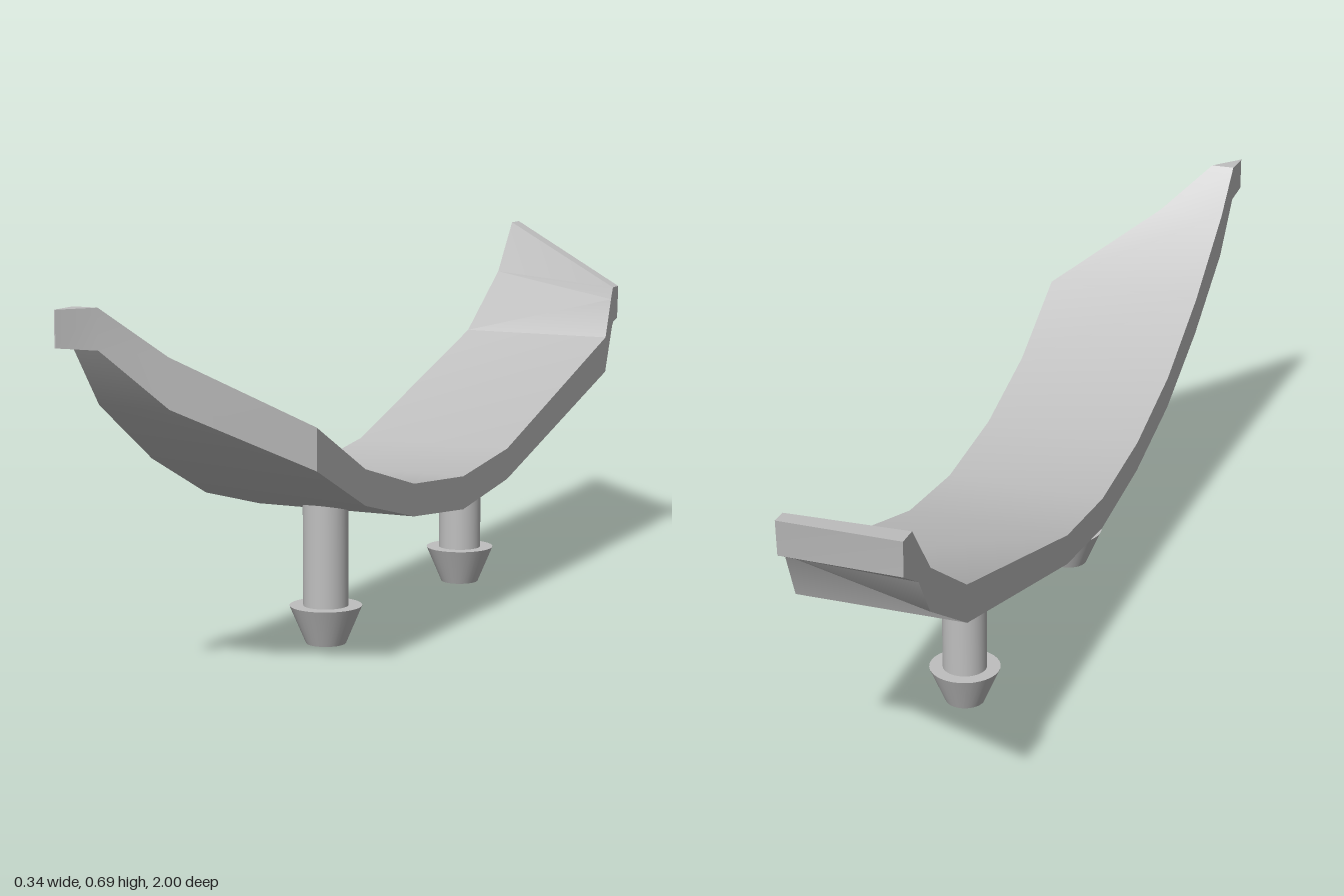
import * as THREE from 'three';
import { toCreasedNormals } from 'three/addons/utils/BufferGeometryUtils.js';

const grey = new THREE.MeshStandardMaterial({ color: 0xbfbfbf });
grey.name = 'light grey';

// One slice of the strap: corners in the order left top, right top, right bottom, left bottom
const slice = (xl, xr, z, top, bottom) => [[xl, top, z], [xr, top, z], [xr, bottom, z], [xl, bottom, z]];

function strapGeometry() {
  const L = -0.158, R = 0.167;
  const sections = [
    // skewed, upturned back end with its raised lip
    [[L, 0.695, -1], [R, 0.58, -0.785], [R, 0.51, -0.78], [L, 0.63, -1]],
    [[L, 0.695, -0.96], [R, 0.58, -0.752], [R, 0.505, -0.757], [L, 0.59, -0.935]],
    [[L, 0.59, -0.88], [R, 0.555, -0.741], [R, 0.497, -0.75], [L, 0.51, -0.885]],
    // straight run and curved middle
    slice(L, R, -0.71, 0.475, 0.4),
    slice(L, R, -0.16, 0.312, 0.25),
    slice(L, R, 0.06, 0.29, 0.225),
    slice(L, R, 0.29, 0.312, 0.25),
    slice(-0.159, R, 0.5, 0.372, 0.305),
    slice(-0.161, R, 0.695, 0.475, 0.398),
    // diagonal cut narrowing to the front tip
    slice(-0.165, -0.027, 0.867, 0.607, 0.517),
    slice(-0.168, -0.12, 0.942, 0.695, 0.622),
    slice(-0.17, -0.168, 1, 0.695, 0.63),
  ];
  const pos = [];
  const tri = (...pts) => pts.forEach((p) => pos.push(...p));
  for (let i = 0; i < sections.length - 1; i++) {
    const s = sections[i], t = sections[i + 1];
    for (let k = 0; k < 4; k++) {
      const n = (k + 1) % 4, a = s[k], b = s[n], c = t[n], d = t[k];
      if (k === 0) { tri(a, d, b); tri(d, c, b); }
      else { tri(a, d, c); tri(a, c, b); }
    }
  }
  // end caps
  const f = sections[0], e = sections[sections.length - 1];
  tri(f[0], f[1], f[2]); tri(f[0], f[2], f[3]);
  tri(e[0], e[2], e[1]); tri(e[0], e[3], e[2]);
  const g = new THREE.BufferGeometry();
  g.setAttribute('position', new THREE.Float32BufferAttribute(pos, 3));
  return toCreasedNormals(g, 0.5);
}

function part(name, geometry, y = 0) {
  const mesh = new THREE.Mesh(geometry, grey);
  mesh.name = name;
  mesh.position.y = y;
  return mesh;
}

// Round shaft with a tapered snap-in head
function peg(name, z, top) {
  const g = new THREE.Group();
  g.name = name;
  const bottom = 0.06;
  g.add(part('pegShaft', new THREE.CylinderGeometry(0.043, 0.043, top - bottom, 32), (top + bottom) / 2));
  g.add(part('pegHead', new THREE.CylinderGeometry(0.069, 0.038, 0.073, 32), 0.0365));
  g.position.z = z;
  return g;
}

export function createModel() {
  const model = new THREE.Group();
  model.name = 'curvedClip';
  model.add(part('curvedStrap', strapGeometry()));
  model.add(peg('frontPeg', 0.325, 0.28));
  model.add(peg('backPeg', -0.305, 0.32));
  return model;
}
